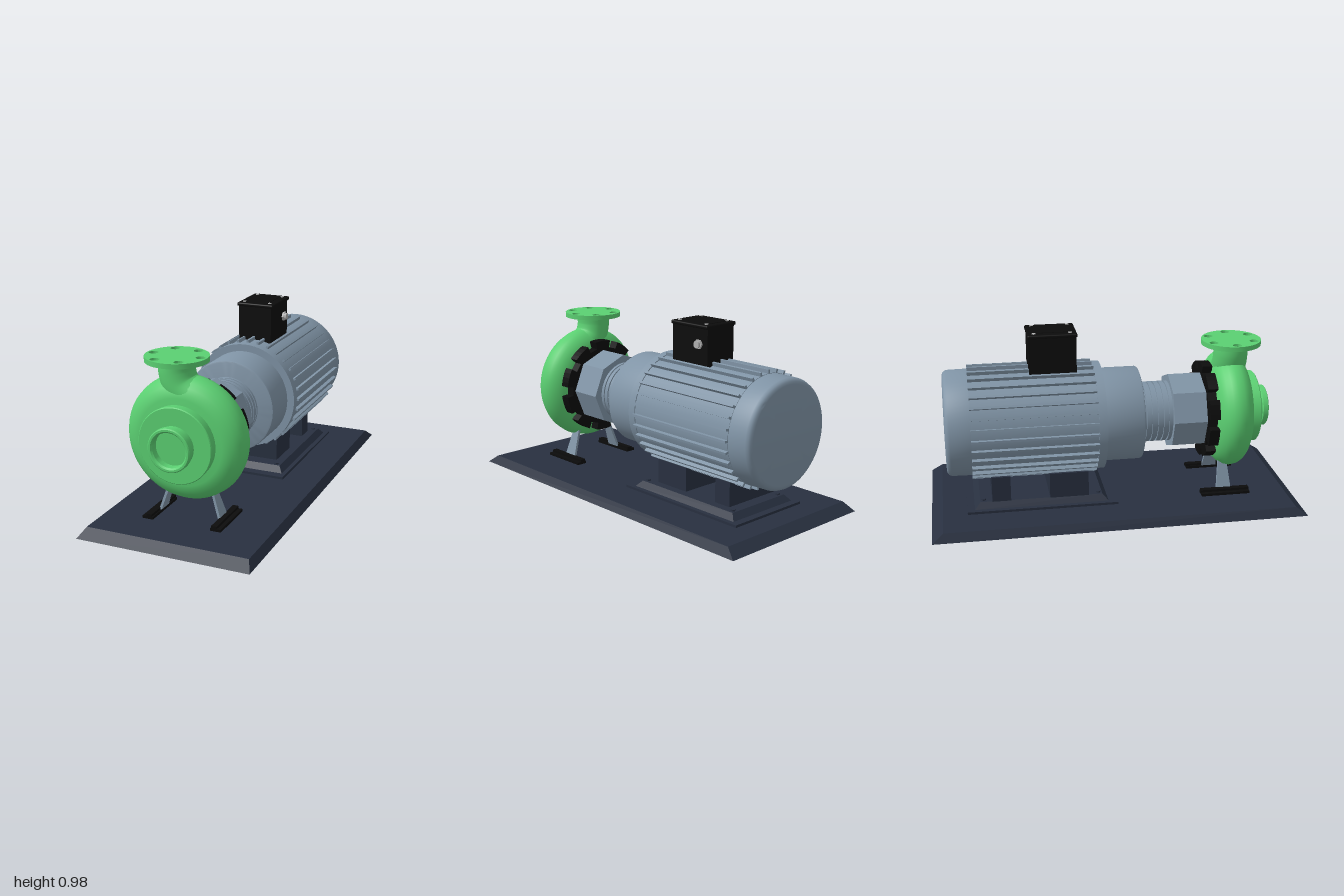
import * as THREE from 'three';
import { toCreasedNormals } from 'three/addons/utils/BufferGeometryUtils.js';
import { RoundedBoxGeometry } from 'three/addons/geometries/RoundedBoxGeometry.js';

const material = (color) => new THREE.MeshStandardMaterial({ color });

export function createModel() {
  const root = new THREE.Group();
  const green = material(0x5bd072), steel = material(0x8094a6);
  const navy = material(0x283040), black = material(0x0c0c0c), metal = material(0xb0b0b0);
  const AX = -0.015, AY = 0.483; // shaft axis

  function add(name, geometry, mat, x = 0, y = 0, z = 0, parent = root) {
    const mesh = new THREE.Mesh(geometry, mat);
    mesh.name = name;
    mesh.position.set(x, y, z);
    parent.add(mesh);
    return mesh;
  }
  // Turned part around the shaft axis; profile is [z, radius] with z ascending
  function turned(name, profile, mat, segments = 64) {
    const lathe = new THREE.LatheGeometry(profile.map(([z, r]) => new THREE.Vector2(r, z)), segments);
    return add(name, toCreasedNormals(lathe.rotateX(Math.PI / 2), 0.55), mat, AX, AY, 0);
  }
  // Box standing on y whose top is scaled and moved sideways
  function tapered(name, w, h, d, topW, topD, mat, x, y, z, shift = 0) {
    const g = new THREE.BoxGeometry(w, h, d).translate(0, h / 2, 0);
    const p = g.attributes.position;
    for (let i = 0; i < p.count; i++) {
      if (p.getY(i) < h / 2) continue;
      p.setX(i, p.getX(i) * topW / w + shift);
      p.setZ(i, p.getZ(i) * topD / d);
    }
    g.computeVertexNormals();
    return add(name, g, mat, x, y, z);
  }
  const bolt = (name, r, h, mat, x, y, z, sides = 16) =>
    add(name, toCreasedNormals(new THREE.CylinderGeometry(r, r, h, sides), 0.5), mat, x, y, z);

  // Base plate and motor plinth
  tapered('basePlate', 0.93, 0.045, 2, 0.875, 1.88, navy, 0, 0, 0);
  add('plinthPlate', new THREE.BoxGeometry(0.49, 0.013, 0.81), navy, -0.003, 0.0515, -0.405);
  tapered('plinth', 0.44, 0.032, 0.72, 0.39, 0.66, navy, -0.003, 0.058, -0.41);
  for (const sx of [-1, 1])
    for (const z of [-0.1, -0.72]) bolt('plinthBolt', 0.012, 0.012, navy, -0.003 + sx * 0.17, 0.092, z, 6);
  add('motorMountFront', new THREE.BoxGeometry(0.345, 0.14, 0.21), navy, -0.027, 0.158, -0.26);
  add('motorMountRear', new THREE.BoxGeometry(0.345, 0.14, 0.1), navy, -0.027, 0.158, -0.625);

  // Motor housing with rounded rear cap
  turned('motorRearCap', [[-0.905, 0], [-0.905, 0.255], [-0.902, 0.268], [-0.894, 0.278],
    [-0.88, 0.284], [-0.77, 0.286]], steel);
  turned('motorBody', [[-0.772, 0], [-0.772, 0.288], [-0.11, 0.288], [-0.11, 0.293],
    [-0.065, 0.293], [-0.065, 0]], steel);
  turned('motorBell', [[-0.065, 0.254], [0.135, 0.254], [0.142, 0.251], [0.145, 0.243], [0.145, 0]], steel);

  // Cooling fins
  const fins = new THREE.Group();
  fins.name = 'coolingFins';
  fins.position.set(AX, AY, -0.441);
  root.add(fins);
  const finGeometry = new THREE.BoxGeometry(0.012, 0.05, 0.665).translate(0, 0.282, 0);
  for (let i = 0; i < 32; i++)
    add('coolingFin', finGeometry, steel, 0, 0, 0, fins).rotation.z = i * Math.PI / 16;

  // Terminal box with lid, screws and cable gland
  const BX = -0.01, BZ = -0.325;
  add('terminalBox', new THREE.BoxGeometry(0.19, 0.2, 0.25), black, BX, 0.857, BZ);
  add('terminalLid', new RoundedBoxGeometry(0.214, 0.02, 0.262, 3, 0.008), black, BX, 0.965, BZ);
  add('lidPanel', new THREE.BoxGeometry(0.13, 0.004, 0.2), black, BX, 0.976, BZ);
  for (const sx of [-1, 1])
    for (const sz of [-1, 1]) bolt('lidScrew', 0.01, 0.006, metal, BX + sx * 0.075, 0.976, BZ + sz * 0.095);
  bolt('glandNut', 0.026, 0.012, metal, 0.09, 0.873, -0.39, 6).rotation.z = Math.PI / 2;
  bolt('cableGland', 0.019, 0.026, metal, 0.095, 0.873, -0.39).rotation.z = Math.PI / 2;

  // Ribbed shaft sleeve
  const ribs = [[0.145, 0.165]];
  for (let i = 0; i < 5; i++) {
    const z = 0.16 + i * 0.031;
    ribs.push([z, 0.165], [z, 0.155], [z + 0.008, 0.155], [z + 0.008, 0.165]);
  }
  ribs.push([0.315, 0.165]);
  turned('shaftSleeve', ribs, steel);

  // Octagonal bearing housing
  turned('bearingHousing', [[0.31, 0], [0.31, 0.21], [0.495, 0.21], [0.495, 0]], steel, 8);

  // Castellated clamp ring
  const ring = new THREE.Shape();
  const teeth = 10;
  for (let i = 0; i < teeth; i++) {
    const a = Math.PI / 2 + (i - 0.32) * Math.PI * 2 / teeth, w = 0.64 * Math.PI * 2 / teeth;
    const at = (r, t) => [r * Math.cos(t), r * Math.sin(t)];
    if (i === 0) ring.moveTo(...at(0.225, a));
    else ring.lineTo(...at(0.225, a));
    for (let k = 0; k <= 4; k++) ring.lineTo(...at(0.265, a + w * k / 4));
    ring.lineTo(...at(0.225, a + w));
  }
  ring.closePath();
  add('clampRing', new THREE.ExtrudeGeometry(ring, { depth: 0.055, bevelEnabled: false }), black, AX, AY, 0.49);

  // Pump casing: rounded volute, stepped cover and suction port
  turned('voluteCasing', [[0.54, 0], [0.54, 0.225], [0.547, 0.25], [0.56, 0.275], [0.58, 0.298], [0.605, 0.315],
    [0.637, 0.322], [0.67, 0.317], [0.697, 0.302], [0.718, 0.278], [0.732, 0.25], [0.738, 0.225], [0.74, 0]], green, 96);
  turned('casingCover', [[0.735, 0.192], [0.79, 0.197], [0.794, 0.193], [0.794, 0.1]], green);
  turned('suctionPort', [[0.79, 0.104], [0.825, 0.104], [0.83, 0.112], [0.856, 0.112], [0.86, 0.107],
    [0.86, 0.097], [0.852, 0.089], [0.815, 0.089], [0.815, 0]], green);

  // Discharge neck sweeping out of the volute
  const OX = -0.068, OZ = 0.642;
  const path = new THREE.CatmullRomCurve3([[0.13, 0.655], [0.03, 0.695], [-0.045, 0.75], [OX, 0.815], [OX, 0.88]]
    .map(([x, y]) => new THREE.Vector3(x, y, OZ)));
  add('dischargeNeck', new THREE.TubeGeometry(path, 32, 0.092, 40), green);

  // Discharge flange with bolt holes
  const flange = new THREE.Shape().absarc(0, 0, 0.16, 0, Math.PI * 2);
  for (let i = 0; i < 6; i++) {
    const a = i * Math.PI / 3;
    flange.holes.push(new THREE.Path().absarc(0.127 * Math.cos(a), 0.127 * Math.sin(a), 0.024, 0, Math.PI * 2, true));
  }
  const flangeGeometry = new THREE.ExtrudeGeometry(flange, { depth: 0.026, bevelEnabled: false, curveSegments: 32 });
  add('dischargeFlange', toCreasedNormals(flangeGeometry.rotateX(-Math.PI / 2), 0.5), green, OX, 0.869, OZ);

  // Splayed pump legs on black foot rails
  for (const s of [-1, 1]) {
    tapered('pumpLeg', 0.014, 0.19, 0.085, 0.014, 0.04, steel, AX + s * 0.168, 0.055, 0.602, -s * 0.063);
    add('footRail', new THREE.BoxGeometry(0.058, 0.014, 0.27), black, AX + s * 0.188, 0.052, 0.605);
    add('footRailRib', new THREE.BoxGeometry(0.03, 0.027, 0.27), black, AX + s * 0.18, 0.0585, 0.605);
  }
  return root;
}
